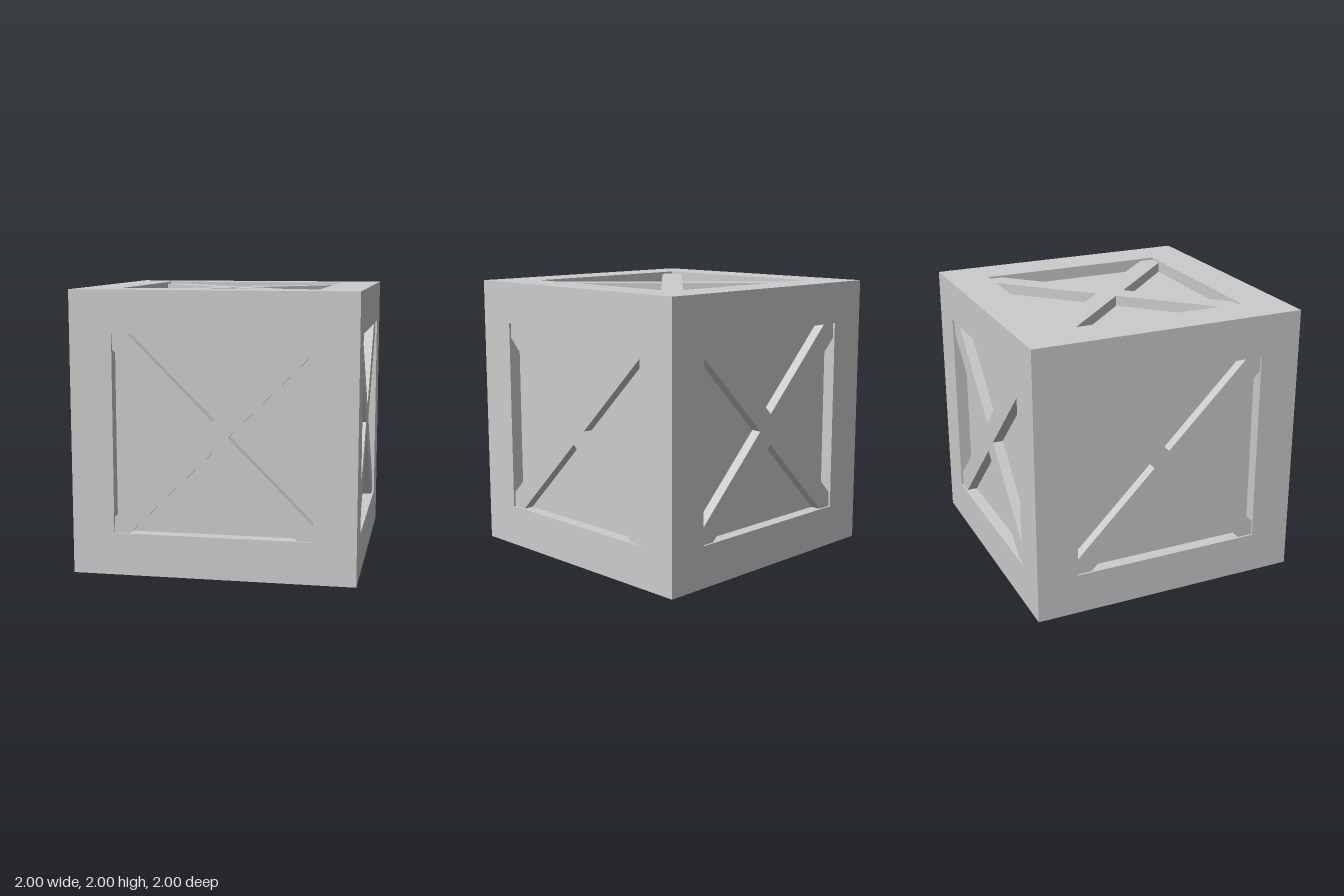
import * as THREE from 'three';

const INNER = 0.7;      // half width of each opening
const BEAM = 0.3;       // thickness of the frame beams
const PANEL = 0.91;     // distance of the recessed panels from the centre
const BRACE_TOP = 0.985;
const NOTCH = 0.11;     // distance of the cross's inner notches from its middle

const material = new THREE.MeshStandardMaterial({ color: 0xcccccc, flatShading: true });

function addMesh(parent, name, geometry) {
  const mesh = new THREE.Mesh(geometry, material);
  mesh.name = name;
  parent.add(mesh);
  return mesh;
}

// Diagonal cross whose arms end in the corners of the opening
function crossGeometry() {
  const points = [];
  const arm = [[INNER, INNER - NOTCH], [INNER, INNER], [INNER - NOTCH, INNER], [0, NOTCH]];
  for (let i = 0; i < 4; i++) {
    for (const [x, y] of arm) {
      points.push(new THREE.Vector2(x, y).rotateAround(new THREE.Vector2(), i * Math.PI / 2));
    }
  }
  const base = PANEL - 0.01;
  const geometry = new THREE.ExtrudeGeometry(new THREE.Shape(points), {
    depth: BRACE_TOP - base, bevelEnabled: false,
  });
  return geometry.translate(0, 0, base);
}

export function createModel() {
  const crate = new THREE.Group();
  crate.name = 'crate';
  const body = new THREE.Group();
  body.name = 'crateBody';
  body.position.y = 1;
  crate.add(body);

  // Inner box, seen as the recessed panel on every side
  addMesh(body, 'innerPanels', new THREE.BoxGeometry(2 * PANEL, 2 * PANEL, 2 * PANEL));

  // Frame: full-height corner posts and the rails between them
  const mid = 1 - BEAM / 2;
  const post = new THREE.BoxGeometry(BEAM, 2, BEAM);
  const railX = new THREE.BoxGeometry(2 * INNER, BEAM, BEAM);
  const railZ = new THREE.BoxGeometry(BEAM, BEAM, 2 * INNER);
  for (const a of [-mid, mid]) {
    for (const b of [-mid, mid]) {
      addMesh(body, 'cornerPost', post).position.set(a, 0, b);
      addMesh(body, 'crossRail', railX).position.set(0, a, b);
      addMesh(body, 'sideRail', railZ).position.set(a, b, 0);
    }
  }

  // One diagonal cross brace on each of the six sides
  const brace = crossGeometry();
  for (let i = 0; i < 4; i++) {
    addMesh(body, 'sideBrace', brace).rotation.y = i * Math.PI / 2;
  }
  addMesh(body, 'topBrace', brace).rotation.x = -Math.PI / 2;
  addMesh(body, 'bottomBrace', brace).rotation.x = Math.PI / 2;

  return crate;
}
